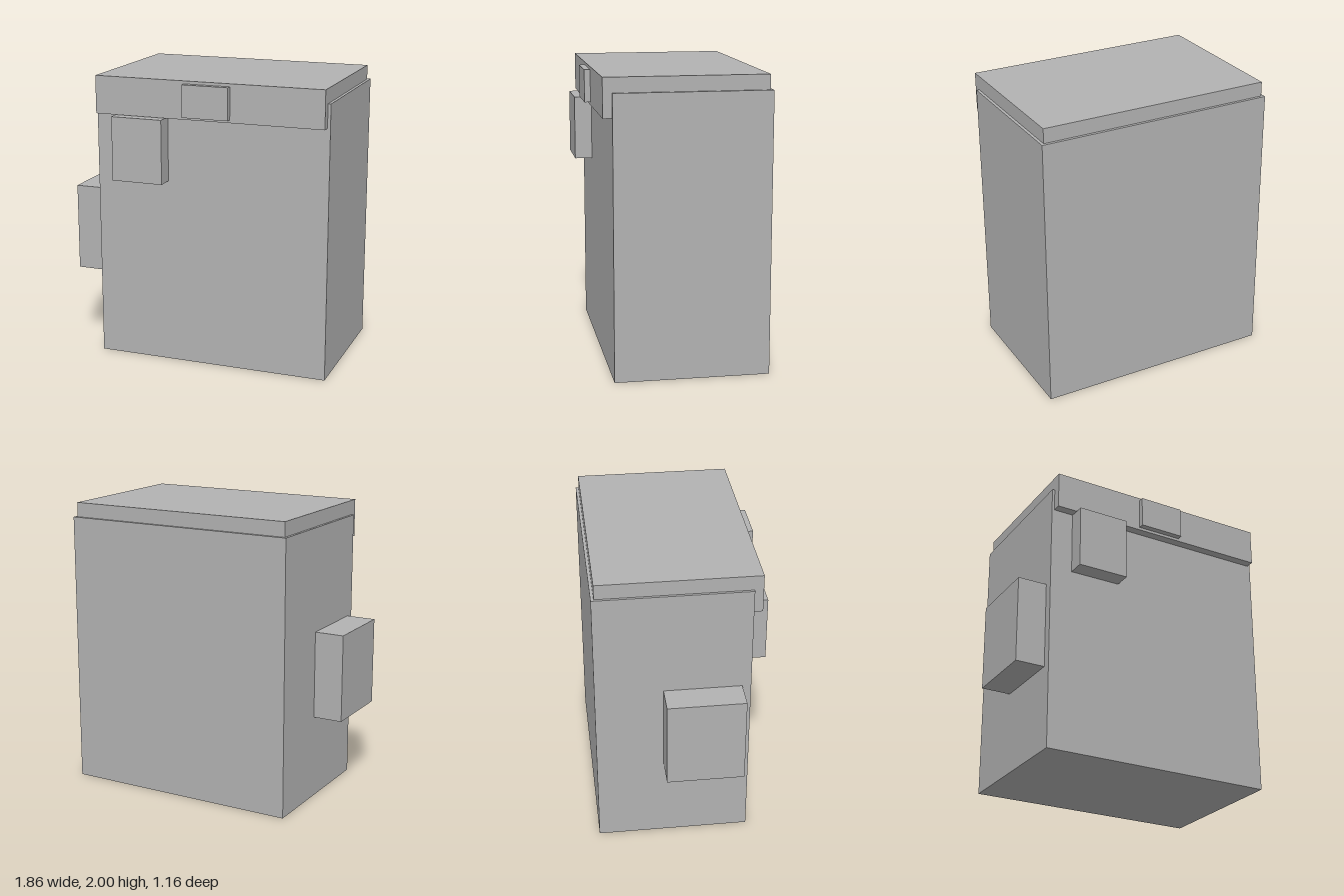
import * as THREE from 'three';

export function createModel() {
  const model = new THREE.Group();
  model.name = 'lidded box';
  const grey = new THREE.MeshStandardMaterial({ color: 0xb2b2b2 });
  grey.name = 'grey';

  // Block given by its lower and upper corner
  function block(name, min, max) {
    const size = max.map((v, i) => v - min[i]);
    const mesh = new THREE.Mesh(new THREE.BoxGeometry(...size), grey);
    mesh.position.set(...max.map((v, i) => (v + min[i]) / 2));
    mesh.name = name;
    model.add(mesh);
  }

  block('body', [-0.725, 0, -0.58], [0.925, 1.9, 0.46]);
  // Lid, set into the top and overhanging the front
  block('lid', [-0.707, 1.74, -0.56], [0.905, 2, 0.52]);
  block('latch', [-0.063, 1.76, 0.51], [0.26, 1.98, 0.56]);
  block('frontPanel', [-0.567, 1.295, 0.45], [-0.205, 1.737, 0.58]);
  block('sideBox', [-0.93, 0.58, -0.125], [-0.715, 1.185, 0.4]);

  return model;
}
